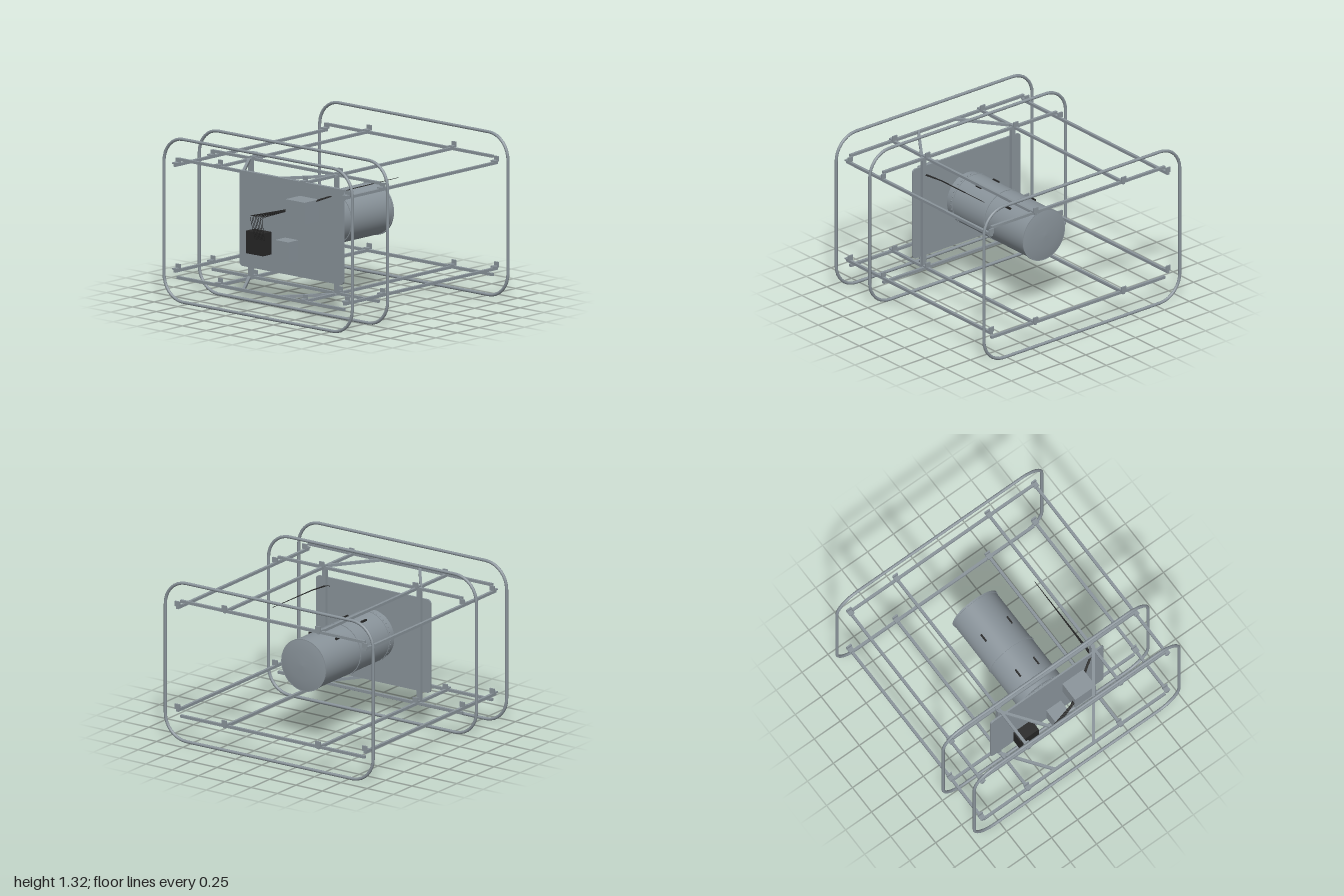
import * as THREE from 'three';

export function createModel() {
  const model = new THREE.Group();
  const steel = new THREE.MeshStandardMaterial({ color: 0x89939a });
  const black = new THREE.MeshStandardMaterial({ color: 0x262626 });
  steel.name = 'steel grey';
  black.name = 'black';

  const add = (name, geo, x = 0, y = 0, z = 0, mat = steel) => {
    const mesh = new THREE.Mesh(geo, mat);
    mesh.name = name;
    mesh.position.set(x, y, z);
    model.add(mesh);
    return mesh;
  };
  const box = (name, w, h, d, x, y, z, mat) => add(name, new THREE.BoxGeometry(w, h, d), x, y, z, mat);
  const v = (x, y, z) => new THREE.Vector3(x, y, z);

  const roundedRect = (hw, hh, r) => {
    const s = new THREE.Shape();
    s.moveTo(hw, -hh + r);
    s.lineTo(hw, hh - r);
    s.absarc(hw - r, hh - r, r, 0, Math.PI / 2);
    s.lineTo(-hw + r, hh);
    s.absarc(-hw + r, hh - r, r, Math.PI / 2, Math.PI);
    s.lineTo(-hw, -hh + r);
    s.absarc(-hw + r, -hh + r, r, Math.PI, Math.PI * 1.5);
    s.lineTo(hw - r, -hh);
    s.absarc(hw - r, -hh + r, r, Math.PI * 1.5, Math.PI * 2);
    return s;
  };

  // Three tubular hoops
  class Hoop extends THREE.Curve {
    constructor() {
      super();
      this.outline = roundedRect(0.9875, 0.6475, 0.2);
    }
    getPoint(t, target = new THREE.Vector3()) {
      const p = this.outline.getPointAt(t % 1);
      return target.set(p.x, p.y, 0);
    }
  }
  const hoopGeo = new THREE.TubeGeometry(new Hoop(), 160, 0.0125, 12, true);
  for (const z of [0.9, 0.492, -0.9]) add('hoopFrame', hoopGeo, 0, 0.66, z);

  // Lengthwise rods, cross bars and angle brackets
  const T = 0.022;
  const barZ = [0.868, 0.465, -0.85];
  for (const z of barZ)
    for (const y of [1.134, 0.193]) box('crossBar', 1.75, T, T, 0, y, z);
  const rods = [[0.89, 1.083], [0.89, 0.242], [0.445, 1.134], [0.445, 0.193]];
  for (const side of [-1, 1]) {
    for (const [x, y] of rods) {
      box('lengthRod', T, T, 1.765, side * x, y, 0.005);
      for (const z of barZ) {
        box('bracketFoot', 0.045, 0.012, 0.05, side * x, y + 0.016, z - 0.005);
        box('bracketTab', 0.045, 0.042, 0.012, side * x, y + 0.031, z - 0.024);
      }
    }
    // Panel posts
    box('panelPost', 0.035, 0.94, 0.03, side * 0.45, 0.67, 0.488);
    // Diagonal braces, level with the cross bars
    const a = v(side * 0.455, 0, 0.5), b = v(side * 0.19, 0, 0.86);
    for (const y of [1.134, 0.193]) {
      const brace = box('diagonalBrace', T, T, a.distanceTo(b), (a.x + b.x) / 2, y, (a.z + b.z) / 2);
      brace.rotation.y = Math.atan2(b.x - a.x, b.z - a.z);
    }
  }

  // Mounting panel
  const panelGeo = new THREE.ExtrudeGeometry(roundedRect(0.543, 0.382, 0.03), { depth: 0.014, bevelEnabled: false, curveSegments: 8 });
  add('mountingPanel', panelGeo, 0, 0.661, 0.502);

  // Horizontal vessel: neck, flange, shell and domed end, each turned about z
  const cy = 0.662;
  const turned = (name, pts) => {
    const geo = new THREE.LatheGeometry(pts.map(([r, z]) => new THREE.Vector2(r, z)), 56);
    geo.rotateX(Math.PI / 2);
    return add(name, geo, 0, cy, 0);
  };
  const disc = (name, r, z, depth) => {
    const geo = new THREE.CylinderGeometry(r, r, depth, 56);
    geo.rotateX(Math.PI / 2);
    return add(name, geo, 0, cy, z);
  };
  disc('vesselNeck', 0.2, 0.472, 0.06);
  disc('vesselShell', 0.207, 0, 0.86);
  disc('vesselFlange', 0.211, 0.427, 0.012);
  disc('shellBand', 0.213, 0.042, 0.018);
  disc('endRim', 0.213, -0.43, 0.014);
  turned('domedEnd', [[0, -0.455], [0.06, -0.453], [0.12, -0.449], [0.17, -0.444], [0.211, -0.436]]);

  // Flange bolts
  const boltGeo = new THREE.CylinderGeometry(0.006, 0.006, 0.026, 6);
  boltGeo.rotateX(Math.PI / 2);
  for (let i = 0; i < 36; i++) {
    const a = (i / 36) * Math.PI * 2;
    add('flangeBolt', boltGeo, Math.cos(a) * 0.204, cy + Math.sin(a) * 0.204, 0.436);
  }

  // Lifting lugs on top of the shell
  for (const [x, z] of [[0.125, -0.15], [0.087, 0.25]])
    for (const side of [-1, 1]) {
      const y = cy + Math.sqrt(0.208 ** 2 - x * x);
      box('liftingLug', 0.012, 0.016, 0.068, side * x, y + 0.003, z, black);
    }

  // Equipment boxes ahead of the panel
  box('controlBox', 0.175, 0.18, 0.097, -0.267, 0.515, 0.599, black);
  box('smallBox', 0.14, 0.165, 0.117, 0.035, 0.498, 0.608);
  box('largeBox', 0.2, 0.175, 0.166, 0.22, 0.848, 0.633);

  // Bundle of thin cables running over the panel and back
  for (let i = 0; i < 8; i++) {
    const k = i - 3.5;
    const points = [
      v(-0.182 + k * 0.014, 0.56, 0.68),
      v(-0.15 + k * 0.018, 0.762, 0.762),
      v(0.12 + k * 0.007, 0.845, 0.7),
      v(0.435 + k * 0.003, 0.978, 0.5),
      v(0.432 + k * 0.0015, 0.995, 0.29),
      v(0.434, 0.998, -0.24),
    ];
    const path = new THREE.CurvePath();
    for (let j = 1; j < points.length; j++) path.add(new THREE.LineCurve3(points[j - 1], points[j]));
    add('cable', new THREE.TubeGeometry(path, 60, 0.0022, 5), 0, 0, 0, black);
  }

  return model;
}
